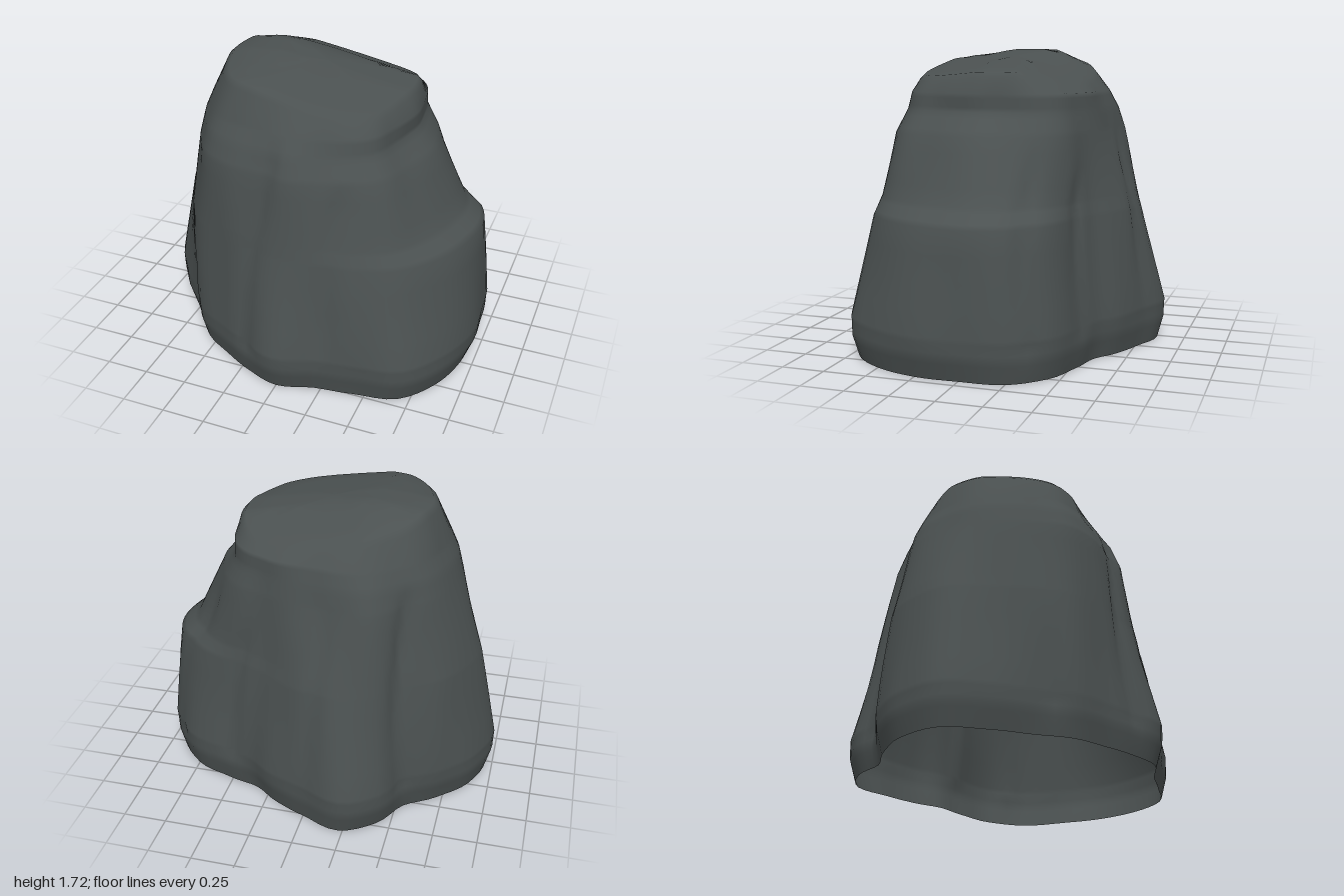
import * as THREE from 'three';

// Control cross-sections: radius every 15 degrees, from +x towards +z
const FOOT = [.98, 1.01, 1.03, 1.02, .90, .84, .87, .83, .81, .83, .83, .90, 1.0, .96, .87, .80, .88, .91, .80, .74, .70, .78, .91, .99];
const WAIST = [.94, .93, .90, .87, .80, .76, .76, .74, .76, .80, .80, .83, .88, .85, .82, .74, .78, .76, .70, .66, .64, .70, .81, .90];
const SHOULDER = [.66, .66, .66, .70, .70, .68, .69, .68, .72, .76, .74, .73, .74, .73, .72, .68, .68, .62, .58, .57, .58, .62, .64, .65];
const CROWN = [.55, .54, .56, .60, .60, .58, .57, .58, .62, .66, .66, .65, .66, .65, .63, .60, .58, .55, .53, .53, .54, .57, .57, .56];

// Rows: height, lower section, upper section, blend, ledge cut on the +x side, scale
const ROWS = [
  [0, FOOT, FOOT, 0, 0, .955],
  [.13, FOOT, FOOT, 0, 0, .995],
  [.24, FOOT, FOOT, 0, 0, 1],
  [.80, WAIST, WAIST, 0, 0, 1],
  [.90, WAIST, SHOULDER, .22, .2, 1],
  [1.25, SHOULDER, SHOULDER, 0, 0, 1],
  [1.38, SHOULDER, CROWN, .45, .55, 1],
  [1.48, CROWN, CROWN, 0, 0, 1],
];
const COLS = 96;
const SUB = 4;

// Smooth periodic interpolation of a section
function radiusAt(section, a) {
  const n = section.length;
  const u = a / (2 * Math.PI) * n;
  const i = Math.floor(u), t = u - i;
  const p = k => section[(i + k + n) % n];
  const m0 = (p(1) - p(-1)) * .4, m1 = (p(2) - p(0)) * .4;
  const t2 = t * t, t3 = t2 * t;
  return (2 * t3 - 3 * t2 + 1) * p(0) + (t3 - 2 * t2 + t) * m0 + (3 * t2 - 2 * t3) * p(1) + (t3 - t2) * m1;
}

function rowRadius([, low, high, blend, cut, scale], a) {
  const t = Math.min(1, blend + cut * Math.max(0, Math.cos(a)));
  return scale * THREE.MathUtils.lerp(radiusAt(low, a), radiusAt(high, a), t);
}

// Upright grooves: angle in degrees, half width, depth, bottom and top height
const GROOVES = [[101, 6, .025, .05, 1.5], [66, 7, .02, .2, 1.3], [140, 6, .02, 0, .6],
  [225, 6, .03, 0, 1.4], [262, 5, .02, .3, 1.3], [308, 6, .03, .1, 1.1], [335, 5, .02, 0, 1.2]];

function relief(a, y) {
  const deg = THREE.MathUtils.radToDeg(a);
  let r = .006 * Math.sin(5 * a + 4 * y) + .005 * Math.sin(9 * a - 5 * y + 1);
  for (const [centre, width, depth, y0, y1] of GROOVES) {
    const side = Math.max(0, 1 - Math.abs(deg - centre - 5 * Math.sin(3 * y)) / width);
    const fade = THREE.MathUtils.smoothstep(y, y0, y0 + .2) * (1 - THREE.MathUtils.smoothstep(y, y1 - .2, y1));
    r -= depth * side * fade;
  }
  return r * Math.min(1, y * 5);
}

// Sloping top surface, falling towards +x and the back
function topHeight(x, z) {
  return 1.72 - .17 * Math.max(0, x + .25) - .16 * Math.max(0, -x - .35)
    - .14 * Math.max(0, z - .05) - .42 * Math.max(0, -z - .16);
}

function rockGeometry() {
  const pos = [], index = [];
  let rows = 0;
  const addRow = point => {
    for (let i = 0; i < COLS; i++) pos.push(...point(i / COLS * 2 * Math.PI));
    rows++;
  };

  // Sides
  for (let j = 0; j < ROWS.length - 1; j++) {
    const last = j === ROWS.length - 2;
    for (let s = 0; s < SUB + (last ? 1 : 0); s++) {
      const t = s / SUB;
      const y = THREE.MathUtils.lerp(ROWS[j][0], ROWS[j + 1][0], t);
      addRow(a => {
        const r = THREE.MathUtils.lerp(rowRadius(ROWS[j], a), rowRadius(ROWS[j + 1], a), t) + relief(a, y);
        return [r * Math.cos(a), y, r * Math.sin(a)];
      });
    }
  }

  // Top rim and cap
  for (const f of [.89, .84, .65, .42, .2, .001]) {
    addRow(a => {
      const r = radiusAt(CROWN, a) * (f + (f > .8 ? .05 * Math.max(0, Math.cos(a)) : 0));
      const x = r * Math.cos(a), z = r * Math.sin(a);
      return [x, topHeight(x, z) - (f > .85 ? .025 : 0), z];
    });
  }

  for (let j = 0; j < rows - 1; j++) {
    for (let i = 0; i < COLS; i++) {
      const a = j * COLS + i, b = j * COLS + (i + 1) % COLS;
      index.push(a, a + COLS, b, b, a + COLS, b + COLS);
    }
  }
  const geometry = new THREE.BufferGeometry();
  geometry.setAttribute('position', new THREE.Float32BufferAttribute(pos, 3));
  geometry.setIndex(index);
  geometry.computeVertexNormals();
  return geometry;
}

export function createModel() {
  const group = new THREE.Group();
  group.name = 'boulder';
  // The shell is open underneath
  const stone = new THREE.MeshStandardMaterial({ color: 0x4b5151, side: THREE.DoubleSide });
  stone.name = 'darkStone';
  const rock = new THREE.Mesh(rockGeometry(), stone);
  rock.name = 'rock';
  group.add(rock);
  return group;
}
